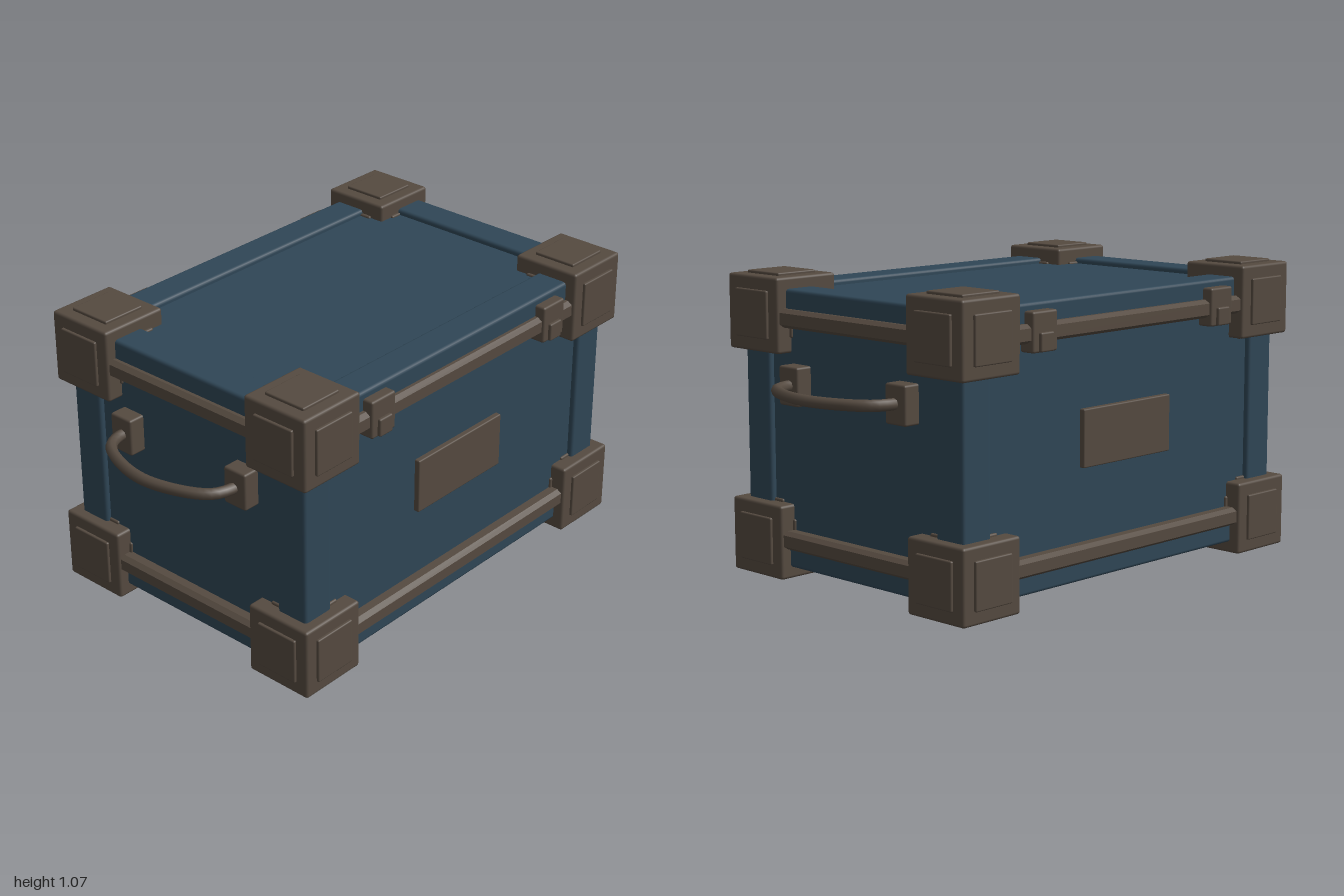
import * as THREE from 'three';
import { RoundedBoxGeometry } from 'three/addons/geometries/RoundedBoxGeometry.js';

const blue = new THREE.MeshStandardMaterial({ color: 0x2f4656 });
blue.name = 'paintedBlue';
const brown = new THREE.MeshStandardMaterial({ color: 0x554a40 });
brown.name = 'agedBrass';

const MID = 0.5325; // height of the crate's centre
const HALF = { x: 0.785, y: 0.4825, z: 0.535 }; // outer half sizes of the frame
const BAR = 0.125;
const SIGNS = [-1, 1];

export function createModel() {
  const model = new THREE.Group();
  model.name = 'storageCrate';
  const body = new THREE.Group();
  body.position.y = MID;
  model.add(body);

  const add = (name, geometry, material, x = 0, y = 0, z = 0) => {
    const mesh = new THREE.Mesh(geometry, material);
    mesh.name = name;
    mesh.position.set(x, y, z);
    body.add(mesh);
    return mesh;
  };
  const box = (name, material, size, pos, r = 0.008) =>
    add(name, new RoundedBoxGeometry(...size, 2, r), material, ...pos);

  // Recessed panels on all six sides
  add('panelBox', new THREE.BoxGeometry(1.53, 0.925, 1.03), blue);

  // Frame bars along the twelve edges
  const bx = HALF.x - BAR / 2, by = HALF.y - BAR / 2, bz = HALF.z - BAR / 2;
  for (const a of SIGNS) for (const b of SIGNS) {
    box('frameBarLong', blue, [HALF.x * 2 - 0.02, BAR, BAR], [0, a * by, b * bz], 0.012);
    box('frameBarShort', blue, [BAR, BAR, HALF.z * 2 - 0.02], [a * bx, b * by, 0], 0.012);
    box('cornerPost', blue, [BAR, HALF.y * 2 - 0.02, BAR], [a * bx, 0, b * bz], 0.012);
  }

  // Corner guards with a raised plate on each outer face and small gussets
  const cx = 0.695, cy = 0.3925, cz = 0.445, S = 0.26;
  for (const sx of SIGNS) for (const sy of SIGNS) for (const sz of SIGNS) {
    const c = [sx * cx, sy * cy, sz * cz], s = [sx, sy, sz];
    box('cornerGuard', brown, [S, S, S], c, 0.01);
    for (let i = 0; i < 3; i++) {
      const size = [0.166, 0.166, 0.166], pos = [...c];
      size[i] = 0.03;
      pos[i] += s[i] * (S / 2 - 0.005);
      box('cornerPlate', brown, size, pos, 0.005);
      const gSize = [0.155, 0.155, 0.155], gPos = [...c];
      gSize[i] = 0.22;
      gPos[i] -= s[i] * 0.03;
      box('cornerGusset', brown, gSize, gPos, 0.006);
    }
  }

  // Straps: shallow bevelled profile running between the guards
  const strapProfile = new THREE.Shape([
    [-0.032, -0.03], [-0.032, 0.012], [-0.02, 0.03], [0.02, 0.03], [0.032, 0.012], [0.032, -0.03],
  ].map(([u, v]) => new THREE.Vector2(v, u)).reverse());
  const strapGeometry = (length) =>
    new THREE.ExtrudeGeometry(strapProfile, { depth: length, bevelEnabled: false })
      .translate(0, 0, -length / 2);
  const longStrap = strapGeometry(1.2), shortStrap = strapGeometry(0.7);
  for (const s of SIGNS) for (const y of [-0.3845, 0.3845]) {
    add('longStrap', longStrap, brown, 0, y, s * 0.535).rotation.y = -s * Math.PI / 2;
    add('sideStrap', shortStrap, brown, s * 0.785, y, 0).rotation.y = s > 0 ? 0 : Math.PI;
  }

  for (const s of SIGNS) {
    // Label plate and clasps on the front and the back
    box('labelPlate', brown, [0.44, 0.2, 0.03], [0, 0.0025, s * 0.52], 0.005);
    for (const x of [-0.45, 0.45]) {
      box('claspPlate', brown, [0.115, 0.135, 0.06], [x, 0.39, s * 0.544], 0.008);
      box('claspCatch', brown, [0.062, 0.064, 0.03], [x, 0.357, s * 0.571], 0.006);
    }

    // Curved carrying handles and their mounts
    for (const z of [-0.265, 0.265])
      box('handleMount', brown, [0.07, 0.135, 0.096], [s * 0.79, 0.16, z]);
    const path = new THREE.CatmullRomCurve3([
      [0.79, -0.262], [0.85, -0.257], [0.9, -0.232], [0.95, -0.145], [0.98, 0],
      [0.95, 0.145], [0.9, 0.232], [0.85, 0.257], [0.79, 0.262],
    ].map(([x, z]) => new THREE.Vector3(s * x, 0, z)));
    add('carryHandle', new THREE.TubeGeometry(path, 32, 0.02, 8), brown, 0, 0.162, 0);
  }

  return model;
}
